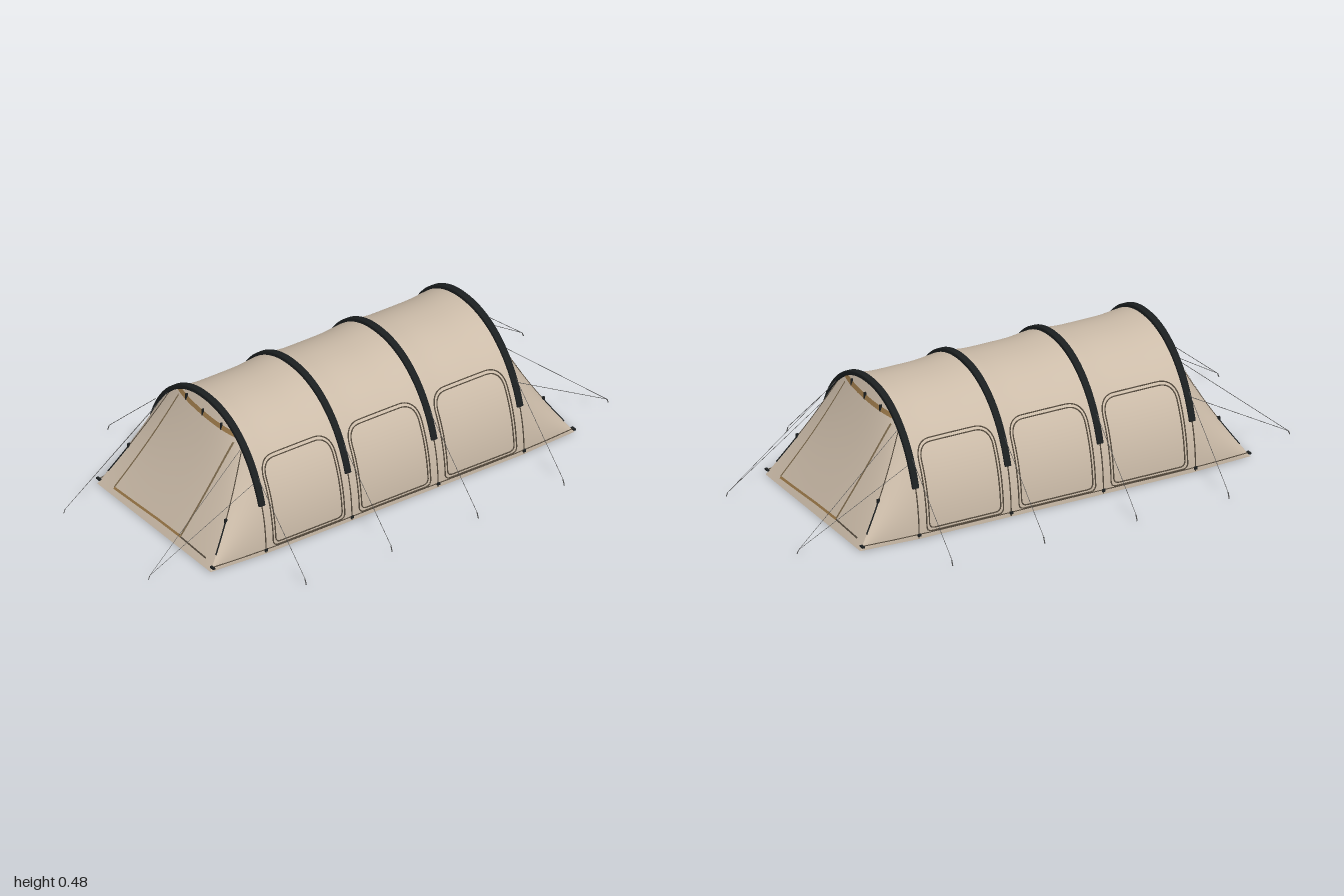
import * as THREE from 'three';

const A = 0.365;            // half width of the tunnel at the ground
const ROUND = 2.14;         // fullness of the arch, 2 being a plain ellipse
const ARCH_Z = 0.56;        // outermost arches
const END_Z = 0.79;         // foot of the sloping ends
const POLES = [0.56, 0.187, -0.187, -0.56];

const mat = (name, color, side = THREE.FrontSide) => {
  const m = new THREE.MeshStandardMaterial({ color, side });
  m.name = name;
  return m;
};
const fabric = mat('sand canvas', 0xccbca9, THREE.DoubleSide);
const black = mat('black sleeve', 0x1b1f20);
const seamMat = mat('dark seam', 0x544a3d);
const brown = mat('brown band', 0x987647, THREE.DoubleSide);
const zipMat = mat('dull brown zip', 0x7d6a4d, THREE.DoubleSide);
const rope = mat('grey rope', 0x555555);

const V = (x, y, z) => new THREE.Vector3(x, y, z);

// Arch outline: point at an angle, and height above a given x
const fuller = c => Math.sign(c) * Math.pow(Math.abs(c), 2 / ROUND);
const archPoint = (a, rx, ry) =>
  new THREE.Vector2(rx * fuller(Math.cos(a)), ry * fuller(Math.max(0, Math.sin(a))));
const otherSide = t => Math.pow(Math.max(0, 1 - Math.pow(Math.abs(t), ROUND)), 1 / ROUND);

// Roof height, sagging a little between the arches
function roof(z) {
  const span = 2 * ARCH_Z / 3;
  return 0.455 + 0.012 * Math.pow(Math.abs(Math.cos(Math.PI * (z - ARCH_Z) / span)), 6);
}
const wallX = (y, z) => A * otherSide(y / roof(z));

// Sloping end: rows run from the arch to the foot line, the flanks fan into the corners
const SEAM_X = 0.22, FOOT_X = 0.35, TOP = 0.467;
const SEAM_A = Math.acos(Math.pow(SEAM_X / A, ROUND / 2));
const slopeZ = s => ARCH_Z + (END_Z - ARCH_Z) * s - 0.012 * Math.sin(Math.PI * s);
function endPoint(angle, s) {
  const p = archPoint(angle, A, TOP);
  const foot = FOOT_X * THREE.MathUtils.clamp(p.x / SEAM_X, -1, 1);
  return V(p.x + (foot - p.x) * s, p.y * (1 - s), slopeZ(s));
}
// Point on the centre panel of the end for a given x and y
function onDoor(x, y, lift = 0.003) {
  let s = 0.5, top = TOP;
  for (let i = 0; i < 12; i++) {
    const ax = SEAM_X * x / (SEAM_X + (FOOT_X - SEAM_X) * s);
    top = TOP * otherSide(ax / A);
    s = THREE.MathUtils.clamp(1 - y / top, 0.01, 1);
  }
  return V(x, top * (1 - s), slopeZ(s) + lift);
}

// Smooth sheet from a function of u and v
function sheet(fn, nu, nv) {
  const pos = [], index = [];
  for (let j = 0; j <= nv; j++)
    for (let i = 0; i <= nu; i++) pos.push(...fn(i / nu, j / nv).toArray());
  for (let j = 0; j < nv; j++)
    for (let i = 0; i < nu; i++) {
      const a = j * (nu + 1) + i, b = a + 1, c = a + nu + 1, d = c + 1;
      index.push(a, c, b, b, c, d);
    }
  const g = new THREE.BufferGeometry();
  g.setAttribute('position', new THREE.Float32BufferAttribute(pos, 3));
  g.setIndex(index);
  g.computeVertexNormals();
  return g;
}

function add(parent, name, geometry, material) {
  const m = new THREE.Mesh(geometry, material);
  m.name = name;
  parent.add(m);
  return m;
}
function cord(parent, name, pts, r, material, closed = false, sides = 6) {
  const c = new THREE.CatmullRomCurve3(pts, closed, 'centripetal');
  const n = pts.length === 2 ? 1 : Math.max(12, pts.length * 2);
  return add(parent, name, new THREE.TubeGeometry(c, n, r, sides, closed), material);
}
function block(parent, name, p, w, h, d, material) {
  add(parent, name, new THREE.BoxGeometry(w, h, d), material).position.copy(p);
}
const along = (n, fn) => Array.from({ length: n + 1 }, (_, i) => fn(i / n));

// Arched sleeve with an open base
function sleeveGeometry() {
  const t0 = 0.39;
  const arc = (rx, ry) => along(56, t => archPoint(t0 + (Math.PI - 2 * t0) * t, rx, ry));
  const shape = new THREE.Shape([...arc(0.367, 0.477), ...arc(0.359, 0.467).reverse()]);
  const g = new THREE.ExtrudeGeometry(shape, {
    depth: 0.018, bevelEnabled: true, bevelSize: 0.004, bevelThickness: 0.004, bevelSegments: 2
  });
  g.translate(0, 0, -0.009);
  return g;
}

// Rounded window outline, as z and y pairs
function windowOutline(inset) {
  const w = 0.155 - inset, b = 0.022 + inset, t = 0.335 - inset, r = 0.065 - inset, q = 0.02;
  const s = new THREE.Shape();
  s.moveTo(-w + q, b).lineTo(w - q, b).quadraticCurveTo(w, b, w, b + q);
  s.lineTo(w, t - r).quadraticCurveTo(w, t, w - r, t);
  s.lineTo(-w + r, t).quadraticCurveTo(-w, t, -w, t - r);
  s.lineTo(-w, b + q).quadraticCurveTo(-w, b, -w + q, b);
  return s.getSpacedPoints(72).slice(0, -1);
}

function buildEnd() {
  const end = new THREE.Group();
  // Canvas: centre panel and two flanks
  const patch = (name, a0, a1, n) =>
    add(end, name, sheet((u, s) => endPoint(a0 + (a1 - a0) * u, s), n, 16), fabric);
  patch('endPanel', SEAM_A, Math.PI - SEAM_A, 24);
  patch('endFlank', 0, SEAM_A, 16);
  patch('endFlank', Math.PI - SEAM_A, Math.PI, 16);

  // Flat tapes lying on the door: zips, hem and the rolled band above
  const tape = (name, x0, y0, x1, y1, width, m, lift) => {
    const len = Math.hypot(x1 - x0, y1 - y0);
    const nx = -(y1 - y0) / len * width, ny = (x1 - x0) / len * width;
    add(end, name, sheet((u, v) => onDoor(
      x0 + (x1 - x0) * u + nx * (0.5 - v), y0 + (y1 - y0) * u + ny * (0.5 - v), lift), 20, 2), m);
  };
  tape('doorZip', -0.153, 0.405, -0.265, 0.026, 0.006, zipMat);
  tape('doorZip', 0.188, 0.385, 0.14, 0.036, 0.008, zipMat);
  tape('doorZip', -0.265, 0.024, 0.0, 0.032, 0.008, brown);
  tape('doorZip', 0.0, 0.032, 0.14, 0.033, 0.008, brown);
  tape('doorHem', 0.14, 0.032, 0.3, 0.027, 0.005, seamMat);
  tape('doorBand', -0.165, 0.424, 0.195, 0.41, 0.016, brown, 0.005);
  for (const x of [-0.1, 0.01, 0.117])
    block(end, 'doorToggle', onDoor(x, 0.421 - 0.04 * x, 0.006), 0.006, 0.026, 0.008, black);

  for (const s of [-1, 1]) {
    // Corner seam and tension strap
    const a = s > 0 ? SEAM_A : Math.PI - SEAM_A;
    cord(end, 'cornerSeam', along(8, t => endPoint(a, 0.02 + 0.58 * t)), 0.002, seamMat);
    cord(end, 'cornerStrap', along(6, t => endPoint(a, 0.6 + 0.27 * t)), 0.0028, black);
    block(end, 'strapBuckle', endPoint(a, 0.61), 0.007, 0.02, 0.01, black);
    // Twin guy lines to one peg
    const foot = V(s * 0.262, 0.015, 0.992);
    cord(end, 'endGuyLine', [V(s * 0.225, 0.385, ARCH_Z), foot], 0.001, rope, false, 4);
    cord(end, 'endGuyLine', [V(s * 0.305, 0.275, ARCH_Z), foot], 0.001, rope, false, 4);
    cord(end, 'endPeg', [foot, V(s * 0.262, 0, 0.998)], 0.002, rope, false, 4);
    // Ground tab at the corner
    block(end, 'cornerTab', V(s * 0.352, 0.017, 0.783), 0.02, 0.006, 0.01, black);
  }
  return end;
}

export function createModel() {
  const tent = new THREE.Group();
  tent.name = 'tunnelTent';

  // Main tunnel canvas
  add(tent, 'tunnelCanvas', sheet((u, v) => {
    const z = ARCH_Z - 2 * ARCH_Z * v, p = archPoint(Math.PI * u, A, roof(z));
    return V(p.x, p.y, z);
  }, 64, 60), fabric);

  // Sloping ends, the rear one turned half round
  for (const name of ['frontEnd', 'backEnd']) {
    const end = buildEnd();
    end.name = name;
    if (name === 'backEnd') end.rotation.y = Math.PI;
    tent.add(end);
  }

  // Arched sleeves, leg seams and side guy lines
  const sleeve = sleeveGeometry();
  for (const z of POLES) {
    add(tent, 'archSleeve', sleeve, black).position.z = z;
    for (const s of [-1, 1]) {
      cord(tent, 'legSeam', along(6, t => V(s * wallX(0.19 * t, z), 0.003 + 0.187 * t, z)), 0.0025, seamMat);
      block(tent, 'legTab', V(s * 0.366, 0.016, z), 0.008, 0.01, 0.012, black);
      const foot = V(s * 0.605, 0.024, z);
      cord(tent, 'sideGuyLine', [V(s * 0.315, 0.295, z), foot], 0.001, rope, false, 4);
      cord(tent, 'sidePeg', [foot, V(s * 0.614, 0.001, z)], 0.0022, rope, false, 4);
    }
  }

  for (const s of [-1, 1]) {
    // Double piping round the side windows
    for (const zc of [0.373, 0, -0.373])
      for (const inset of [0, 0.011])
        cord(tent, 'windowPiping', windowOutline(inset).map(p =>
          V(s * (wallX(p.y, zc + p.x) + 0.0008), p.y, zc + p.x)), 0.0024, seamMat, true);
    // Ground hem, bending in towards the end corners
    cord(tent, 'groundHem', [V(s * 0.352, 0.018, END_Z - 0.012), V(s * A, 0.018, ARCH_Z),
      V(s * A, 0.018, 0), V(s * A, 0.018, -ARCH_Z), V(s * 0.352, 0.018, -END_Z + 0.012)], 0.002, seamMat);
  }
  return tent;
}
